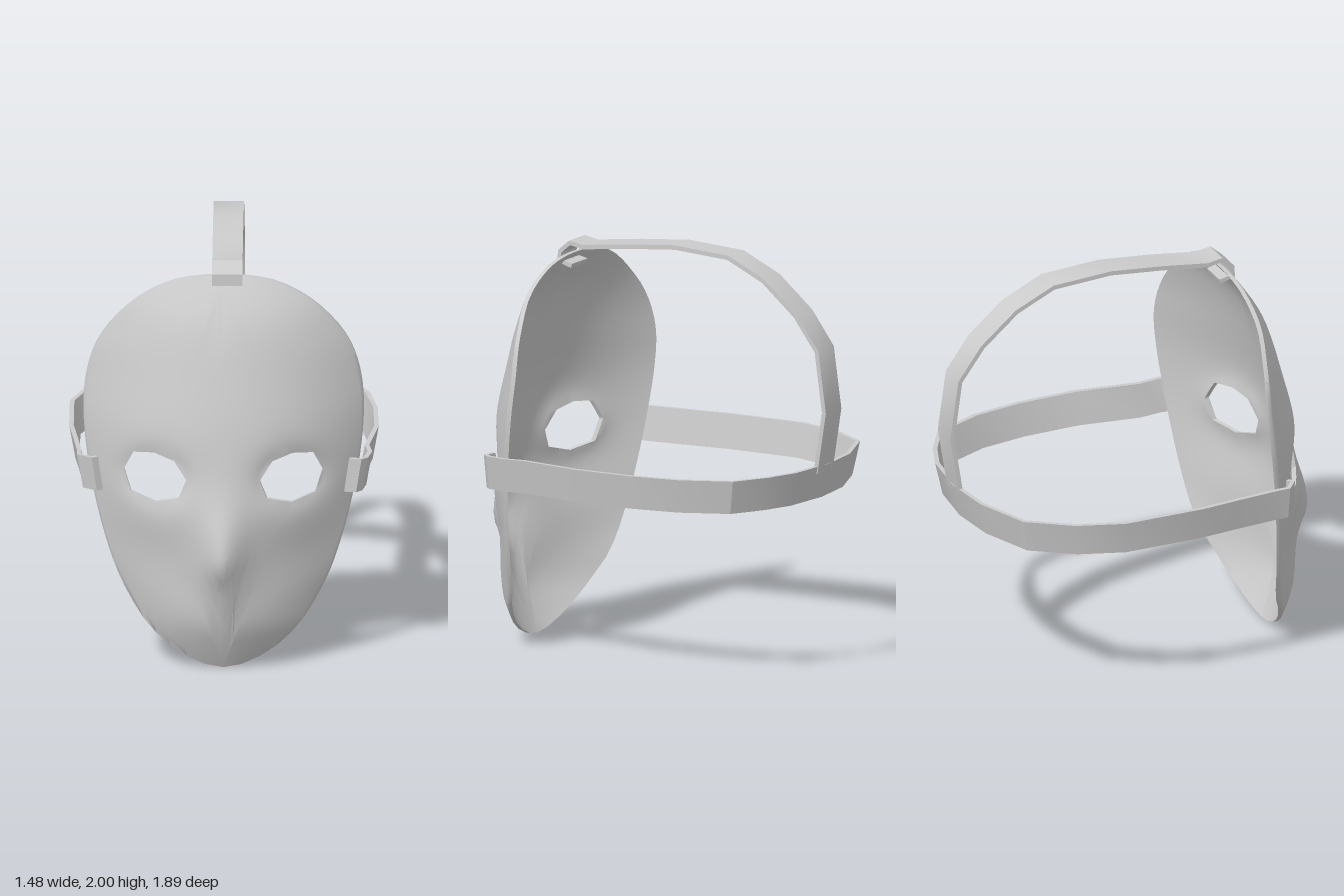
import * as THREE from 'three';
import { toCreasedNormals } from 'three/addons/utils/BufferGeometryUtils.js';

const V2 = (p) => new THREE.Vector2(p[0], p[1]);
const smooth = (pts, n = 120) => new THREE.SplineCurve(pts.map(V2)).getPoints(n);

// Turns a few [y, value] pairs into a smooth function of y
function profile(pairs) {
  const pts = smooth(pairs);
  return (y) => {
    if (y <= pts[0].x) return pts[0].y;
    for (let i = 1; i < pts.length; i++) {
      const a = pts[i - 1], b = pts[i];
      if (y <= b.x) return a.y + (b.y - a.y) * (y - a.x) / Math.max(b.x - a.x, 1e-9);
    }
    return pts[pts.length - 1].y;
  };
}

// Half outline of the face (x, y), chin to crown
const OUTLINE = [[0, 0], [0.1, 0.018], [0.2, 0.065], [0.3, 0.135], [0.4, 0.245], [0.5, 0.42],
  [0.57, 0.62], [0.62, 0.82], [0.652, 1.0], [0.67, 1.2], [0.658, 1.38], [0.61, 1.54],
  [0.52, 1.675], [0.4, 1.785], [0.25, 1.86], [0.1, 1.887], [0, 1.89]];
const EYE = [[0.175, 0.95], [0.235, 1.04], [0.33, 1.07], [0.43, 1.06], [0.474, 0.968],
  [0.44, 0.862], [0.325, 0.83], [0.21, 0.862]];
const EYE_MID = new THREE.Vector2(0.325, 0.95);

const halfWidth = profile(OUTLINE.map(([x, y]) => [y, x]));
const rimZ = profile([[0, 0.735], [0.2, 0.66], [0.3, 0.615], [0.4, 0.59], [0.6, 0.56], [0.8, 0.535],
  [1.0, 0.51], [1.2, 0.485], [1.4, 0.468], [1.6, 0.485], [1.75, 0.512], [1.89, 0.512]]);
const midZ = profile([[0, 0.735], [0.1, 0.785], [0.24, 0.845], [0.4, 0.862], [0.56, 0.87], [0.75, 0.865],
  [0.95, 0.838], [1.18, 0.80], [1.39, 0.746], [1.655, 0.665], [1.8, 0.58], [1.89, 0.512]]);
const fullness = profile([[0, 2], [0.3, 1.8], [0.56, 1.5], [0.95, 2.2], [1.4, 2.1], [1.89, 2]]);

// Front surface of the mask: arched sections, nose and sunken eye edges
function faceZ(x, y) {
  const t = Math.min(1, x / Math.max(halfWidth(y), 1e-4));
  const base = rimZ(y) + (midZ(y) - rimZ(y)) * (1 - t ** fullness(y));
  const ny = (y - 0.56) / (y > 0.56 ? 0.25 : 0.11);
  const nose = 0.08 * Math.exp(-ny * ny - (x / 0.11) ** 2);
  const e = ((x - EYE_MID.x) / 0.15) ** 2 + ((y - EYE_MID.y) / 0.12) ** 2;
  const dent = 0.022 * Math.exp(-(Math.max(e, 1) - 1) * 1.2);
  return base + nose - dent;
}

// Where a ray from the eye centre leaves a closed polygon
function rayHit(poly, angle) {
  const dx = Math.cos(angle), dy = Math.sin(angle);
  let best = 0;
  poly.forEach((a, i) => {
    const b = poly[(i + 1) % poly.length];
    const ex = b.x - a.x, ey = b.y - a.y, ax = a.x - EYE_MID.x, ay = a.y - EYE_MID.y;
    const den = dx * ey - dy * ex;
    if (Math.abs(den) < 1e-10) return;
    const r = (ax * ey - ay * ex) / den, u = (ax * dy - ay * dx) / den;
    if (r > 0 && u > -1e-6 && u < 1 + 1e-6) best = Math.max(best, r);
  });
  return new THREE.Vector2(EYE_MID.x + dx * best, EYE_MID.y + dy * best);
}

function addQuad(out, a, b, c, d) {
  for (const p of [a, b, c, a, c, d]) out.push(p.x, p.y, p.z);
}

function toGeometry(positions, crease) {
  const g = new THREE.BufferGeometry();
  g.setAttribute('position', new THREE.Float32BufferAttribute(positions, 3));
  return toCreasedNormals(g, crease);
}

// Thin shell: rings spread from each eye hole to its half of the outline
function maskGeometry() {
  const R = 18, THICK = 0.022;
  const half = smooth(OUTLINE, 100), eye = EYE.map(V2);
  const angleTo = (p) => Math.atan2(p.y - EYE_MID.y, p.x - EYE_MID.x);
  const angles = [angleTo(V2([0, 0])), angleTo(V2([0, 1.89]))];
  eye.forEach((a, i) => {
    const b = eye[(i + 1) % eye.length];
    for (let k = 0; k < 12; k++) angles.push(angleTo(a.clone().lerp(b, k / 12)));
  });
  angles.sort((a, b) => a - b);

  // Each column runs over the front, round the rim and over the back
  const columns = angles.map((angle) => {
    const p0 = rayHit(eye, angle), p1 = rayHit(half, angle);
    const front = [];
    for (let r = 0; r <= R; r++) {
      const p = p0.clone().lerp(p1, r / R);
      if (p.x < 1e-5) p.x = 0;
      front.push(new THREE.Vector3(p.x, p.y, faceZ(p.x, p.y)));
    }
    const back = front.map((p) => new THREE.Vector3(p.x, p.y, p.z - THICK)).reverse();
    return [...front, ...back];
  });

  const out = [], flip = (p) => new THREE.Vector3(-p.x, p.y, p.z);
  columns.forEach((A, i) => {
    const B = columns[(i + 1) % columns.length];
    for (let k = 0; k < A.length; k++) {
      const n = (k + 1) % A.length;
      if (k === R && A[k].x === 0 && B[k].x === 0) continue; // open along the middle
      addQuad(out, A[k], A[n], B[n], B[k]);
      addQuad(out, flip(B[k]), flip(B[n]), flip(A[n]), flip(A[k]));
    }
  });
  return toGeometry(out, 0.9);
}

// Flat band along a 2D path; place(a, b, side) puts it in space
function strapGeometry(path, thick, place) {
  const pts = path.map(V2), last = pts.length - 1;
  const sections = pts.map((p, i) => {
    const d0 = p.clone().sub(pts[Math.max(i - 1, 0)]).normalize();
    const d1 = pts[Math.min(i + 1, last)].clone().sub(p).normalize();
    const d = d0.add(d1).normalize();
    const a = p.x - d.y * thick, b = p.y + d.x * thick;
    return [place(p.x, p.y, 0), place(p.x, p.y, 1), place(a, b, 1), place(a, b, 0)];
  });
  const out = [];
  for (let i = 0; i < last; i++) {
    const A = sections[i], B = sections[i + 1];
    for (let k = 0; k < 4; k++) addQuad(out, A[k], A[(k + 1) % 4], B[(k + 1) % 4], B[k]);
  }
  addQuad(out, ...sections[0].slice().reverse());
  addQuad(out, ...sections[last]);
  return toGeometry(out, 0.5);
}

export function createModel() {
  const group = new THREE.Group();
  const material = new THREE.MeshStandardMaterial({ color: 0xcccccc });
  const add = (name, geometry) => {
    const mesh = new THREE.Mesh(geometry, material);
    mesh.name = name;
    group.add(mesh);
  };

  add('mask', maskGeometry());

  // Head band (x, z): hooked over both mask edges, leaning in towards its lower edge
  const band = [[-0.6, 0.585], [-0.63, 0.605], [-0.7, 0.55], [-0.7, 0.49], [-0.72, 0.28], [-0.742, 0.07],
    [-0.742, -0.33], [-0.665, -0.56], [-0.52, -0.77], [-0.25, -0.875], [0, -0.905], [0.26, -0.88],
    [0.42, -0.82], [0.585, -0.72], [0.69, -0.48], [0.73, -0.23], [0.738, 0.07], [0.695, 0.38],
    [0.71, 0.49], [0.69, 0.59], [0.66, 0.62], [0.6, 0.61]];
  add('headBand', strapGeometry(band, 0.022, (x, z, s) => {
    const k = 0.96 + 0.04 * s;
    return new THREE.Vector3(x * k, 0.84 + 0.165 * s, z > 0.4 ? z : z * k);
  }));

  // Crown strap (z, y): from a slot in the mask top over to the head band
  const crown = [[0.475, 1.825], [0.55, 1.848], [0.547, 1.905], [0.485, 1.958], [0.41, 1.945], [0.17, 1.975],
    [-0.1, 2.0], [-0.4, 1.982], [-0.6, 1.888], [-0.78, 1.735], [-0.9, 1.57], [-0.942, 1.27], [-0.895, 0.97]];
  add('crownStrap', strapGeometry(crown, 0.022, (z, y, s) => new THREE.Vector3(-0.055 + 0.145 * s, y, z)));

  return group;
}
